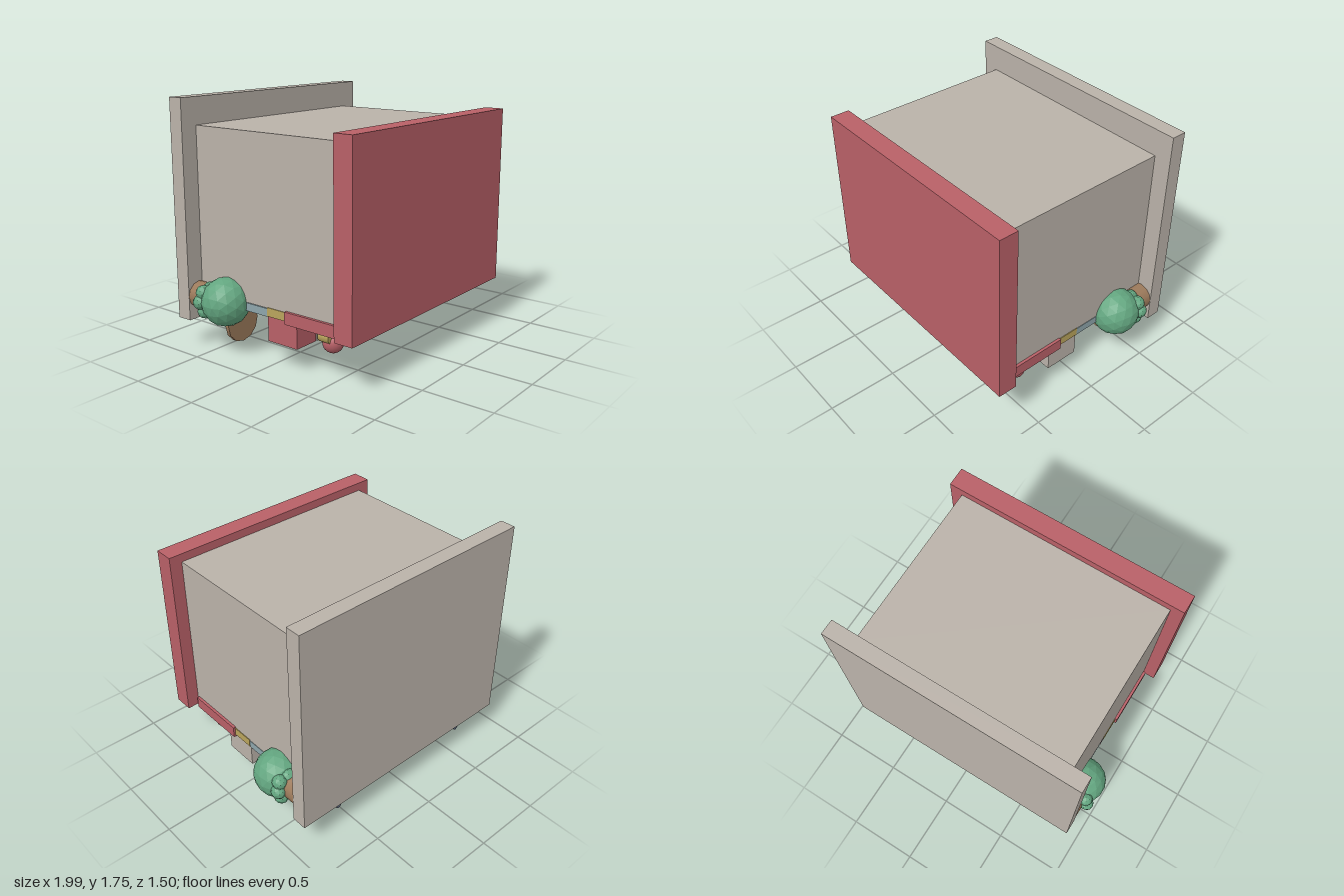
import * as THREE from 'three';

const mat = (name, color) => {
  const m = new THREE.MeshStandardMaterial({ color });
  m.name = name;
  return m;
};

export function createModel() {
  const stone = mat('stone', 0xbab2a9);
  const red = mat('red', 0xb86067);
  const wood = mat('wood', 0x9c7a5b);
  const leaf = mat('leaf', 0x63a680);
  const brass = mat('brass', 0xb9a45c);
  const glass = mat('glass', 0x8ea5ab);
  const slate = mat('slate', 0x566075);

  const model = new THREE.Group();
  model.name = 'shop';

  const add = (name, geo, material, x = 0, y = 0, z = 0) => {
    const mesh = new THREE.Mesh(geo, material);
    mesh.name = name;
    mesh.position.set(x, y, z);
    model.add(mesh);
    return mesh;
  };
  // Box from its min and max on each axis
  const box = (name, material, x0, x1, y0, y1, z0, z1) =>
    add(name, new THREE.BoxGeometry(x1 - x0, y1 - y0, z1 - z0), material,
      (x0 + x1) / 2, (y0 + y1) / 2, (z0 + z1) / 2);
  // Cylinder lying along z
  const rod = (name, material, r, x, y, z0, z1, sides) =>
    add(name, new THREE.CylinderGeometry(r, r, z1 - z0, sides).rotateX(Math.PI / 2),
      material, x, y, (z0 + z1) / 2);
  // Faceted ball
  const clump = (name, r, x, y, z, detail) => {
    const geo = new THREE.IcosahedronGeometry(r, detail);
    geo.computeVertexNormals();
    return add(name, geo, leaf, x, y, z);
  };

  // Main block with its two end slabs
  box('body', stone, -0.8, 0.8, 0.4, 1.555, -0.64, 0.61);
  box('roofSlab', red, -0.89, 0.89, 0.34, 1.615, 0.61, 0.75);
  box('baseSlab', stone, -0.925, 0.925, 0.21, 1.745, -0.75, -0.64);

  // Bands across the facade
  box('redBand', red, -0.82, 0.82, 0.33, 0.415, 0.145, 0.59);
  box('brassBand', brass, -0.805, 0.805, 0.345, 0.405, -0.02, 0.145);

  // Striped awning
  for (let i = 0; i < 8; i++) {
    const x = -0.8 + i * 0.2;
    box('awningStripe', i % 2 ? stone : red, x + 0.004, x + 0.194, 0.17, 0.345, -0.02, 0.23);
  }

  // Door with its bar and knob
  box('door', wood, -0.2, 0.2, 0.32, 0.4, -0.64, -0.09);
  box('doorBar', brass, -0.21, 0.21, 0.295, 0.32, -0.285, -0.255);
  add('doorKnob', new THREE.SphereGeometry(0.022, 12, 8), brass, 0.16, 0.305, -0.39);

  for (const s of [-1, 1]) {
    // Window and posts
    box('window', glass, s > 0 ? 0.2 : -0.801, s > 0 ? 0.801 : -0.2, 0.34, 0.396, -0.56, -0.02);
    for (const x of [0.22, 0.5]) rod('windowPost', slate, 0.016, s * x, 0.3, -0.53, -0.09, 8);

    // Lamp and holder
    rod('lampHolder', brass, 0.042, s * 0.735, 0.293, 0.385, 0.47, 10);
    add('lamp', new THREE.SphereGeometry(0.071, 20, 14), red, s * 0.69, 0.243, 0.445);

    // Round table
    rod('tableTop', wood, 0.146, s * 0.59, 0.146, -0.49, -0.46, 12);
    rod('tableLeg', slate, 0.022, s * 0.59, 0.152, -0.71, -0.49, 8);

    // Potted bush
    rod('pot', wood, 0.095, s * 0.83, 0.38, -0.64, -0.48, 12);
    clump('bush', 0.17, s * 0.83, 0.378, -0.375, 2);
    for (const [x, y, z] of [[0.92, 0.44, -0.5], [0.94, 0.375, -0.51], [0.91, 0.305, -0.5], [0.85, 0.45, -0.5]])
      clump('bushClump', 0.052, s * x, y, z, 1);
  }
  return model;
}
